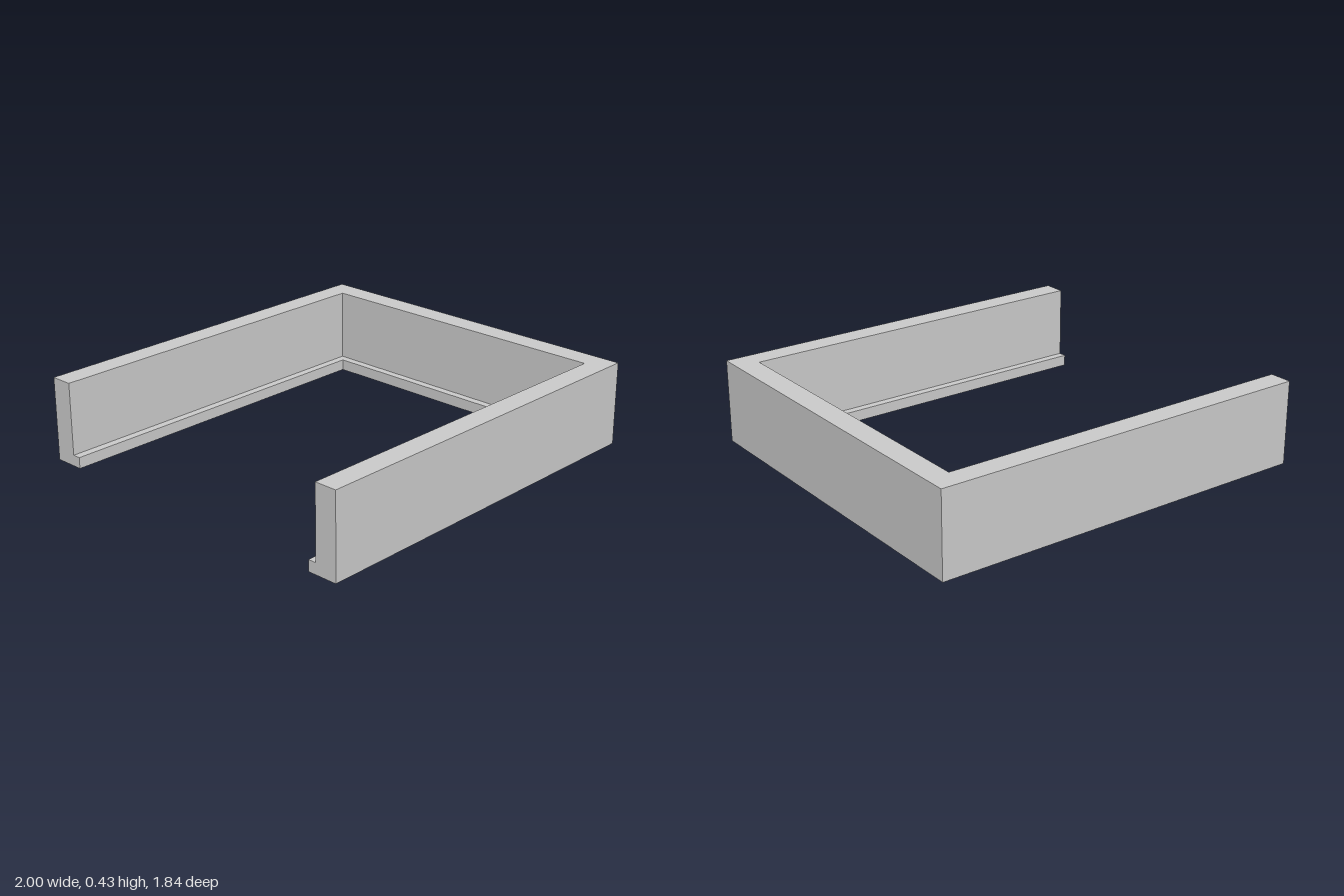
import * as THREE from 'three';

const LEFT = -1;

// Flat U-shaped band, open toward -x, between an outer and an inner outline.
function uBand(outer, inner, height) {
  const shape = new THREE.Shape([
    [LEFT, -outer.z], [outer.x, -outer.z], [outer.x, outer.z], [LEFT, outer.z],
    [LEFT, inner.z], [inner.x, inner.z], [inner.x, -inner.z], [LEFT, -inner.z],
  ].map(([x, y]) => new THREE.Vector2(x, y)));
  const geometry = new THREE.ExtrudeGeometry(shape, { depth: height, bevelEnabled: false });
  return geometry.rotateX(-Math.PI / 2);
}

export function createModel() {
  const model = new THREE.Group();
  model.name = 'openFrame';

  const lightGrey = new THREE.MeshStandardMaterial({ color: 0xc8c8c8 });
  lightGrey.name = 'lightGrey';

  const outside = { x: 1, z: 0.92 };
  const wallInside = { x: 0.882, z: 0.805 };
  const ledgeInside = { x: 0.84, z: 0.763 };

  // Three full-height walls
  const walls = new THREE.Mesh(uBand(outside, wallInside, 0.426), lightGrey);
  walls.name = 'walls';

  // Low ledge running along the inner foot of the walls
  const ledge = new THREE.Mesh(uBand(wallInside, ledgeInside, 0.057), lightGrey);
  ledge.name = 'innerLedge';

  model.add(walls, ledge);
  return model;
}
